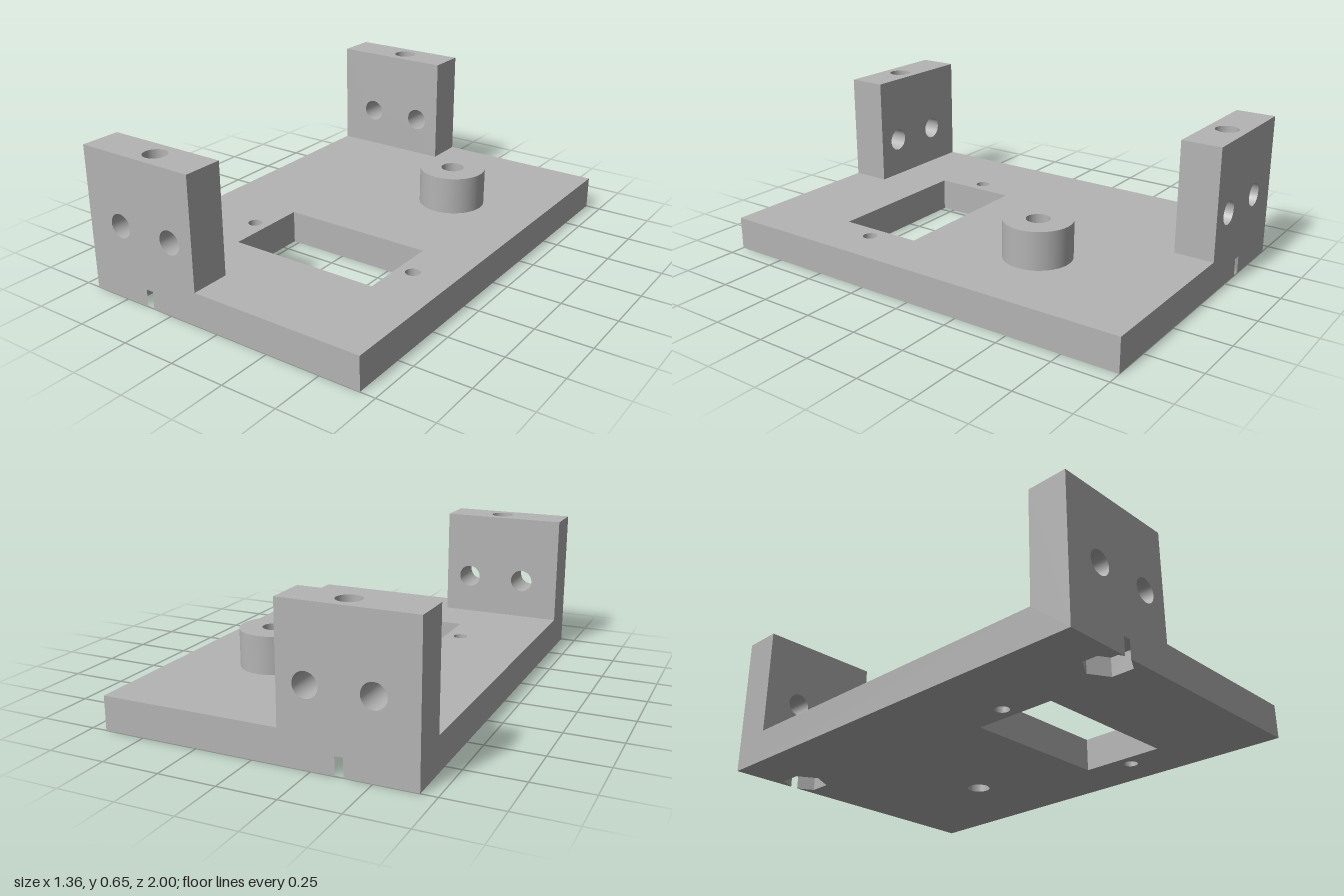
import * as THREE from 'three';

const X = 0.682, Z = 1, BASE = 0.15, TOP = 0.65; // plate half width, half depth, heights
const UX = -0.11, UZ = 0.82;                     // inner edges of the uprights
const BOLT = { x: -0.366, z: 0.91, r: 0.052 };   // vertical bolt bore
const POCKET = 0.08;                             // hex nut pocket depth
const SIDE_HOLES = [[-0.503, 0.334, 0.053], [-0.23, 0.334, 0.053]];
const BOSS = { x: 0.255, z: -0.366, r: 0.151, hole: 0.052, top: 0.32 };
const SCREWS = [[-0.345, 0.362, 0.032], [0.498, 0.362, 0.032]];
const WINDOW = [[-0.275, 0.557], [-0.275, 0.17], [0.428, 0.17], [0.428, 0.557]];

// Flat outline with holes, set square to an axis: x uses (z, y), y uses (x, z), z uses (x, y)
function flatFace(axis, sign, d, outline, circles = [], polygons = []) {
  const vec = (list) => list.map(([a, b]) => new THREE.Vector2(a, b));
  const shape = new THREE.Shape(vec(outline));
  for (const [a, b, r] of circles) shape.holes.push(new THREE.Path().absarc(a, b, r, 0, Math.PI * 2, true));
  for (const p of polygons) shape.holes.push(new THREE.Path(vec(p)));
  const geo = new THREE.ShapeGeometry(shape, 24);
  const pos = geo.attributes.position;
  for (let i = 0; i < pos.count; i++) {
    const a = pos.getX(i), b = pos.getY(i);
    if (axis === 'x') pos.setXYZ(i, d, b, a);
    else if (axis === 'y') pos.setXYZ(i, a, d, b);
    else pos.setXYZ(i, a, b, d);
  }
  const natural = axis === 'z' ? 1 : -1;
  if (sign !== natural) geo.index.array.reverse();
  geo.computeVertexNormals();
  return geo;
}

// Upright walls along a path of (x, z) points
function wallStrip(path, y0, y1) {
  const v = [];
  for (let i = 0; i + 1 < path.length; i++) {
    const [ax, az] = path[i], [bx, bz] = path[i + 1];
    v.push(ax, y0, az, bx, y0, bz, bx, y1, bz, ax, y0, az, bx, y1, bz, ax, y1, az);
  }
  const geo = new THREE.BufferGeometry();
  geo.setAttribute('position', new THREE.Float32BufferAttribute(v, 3));
  geo.computeVertexNormals();
  return geo;
}

// Turned surface; a profile running downward faces inward
const turned = (...profile) =>
  new THREE.LatheGeometry(profile.map(([r, y]) => new THREE.Vector2(r, y)), 48);

const rect = (a0, b0, a1, b1) => [[a0, b0], [a1, b0], [a1, b1], [a0, b1]];

// Hex nut pocket, one corner breaking through the end face
function pocketPath(s) {
  const r = 0.1, w = r * Math.sqrt(3) / 2, n = (BOLT.z + r - Z) * Math.sqrt(3);
  return [[-n, Z - BOLT.z], [-w, r / 2], [-w, -r / 2], [0, -r], [w, -r / 2], [w, r / 2], [n, Z - BOLT.z]]
    .map(([x, z]) => [BOLT.x + x, s * (BOLT.z + z)]);
}

export function createModel() {
  const model = new THREE.Group();
  model.name = 'servoMount';
  const grey = new THREE.MeshStandardMaterial({ color: 0xb4b4b4 });
  grey.name = 'plainGrey';
  const add = (parent, name, geo, x = 0, y = 0, z = 0) => {
    const mesh = new THREE.Mesh(geo, grey);
    mesh.name = name;
    mesh.position.set(x, y, z);
    parent.add(mesh);
    return mesh;
  };
  const group = (name) => {
    const g = new THREE.Group();
    g.name = name;
    model.add(g);
    return g;
  };

  // Base plate
  const base = group('basePlate');
  const bossHole = [BOSS.x, BOSS.z, BOSS.hole];
  add(base, 'plateTop', flatFace('y', 1, BASE,
    [[-X, -UZ], [UX, -UZ], [UX, -Z], [X, -Z], [X, Z], [UX, Z], [UX, UZ], [-X, UZ]],
    [...SCREWS, [BOSS.x, BOSS.z, BOSS.r]], [WINDOW]));
  add(base, 'plateUnderside', flatFace('y', -1, 0,
    [[-X, -Z], ...pocketPath(-1), [X, -Z], [X, Z], ...pocketPath(1).reverse(), [-X, Z]],
    [...SCREWS, bossHole], [WINDOW]));
  add(base, 'leftEdge', flatFace('x', 1, X, rect(-Z, 0, Z, BASE)));
  add(base, 'rightEdge', flatFace('x', -1, -X,
    [[-Z, 0], [Z, 0], [Z, TOP], [UZ, TOP], [UZ, BASE], [-UZ, BASE], [-UZ, TOP], [-Z, TOP]]));
  add(base, 'windowWalls', wallStrip([...WINDOW, WINDOW[0]], 0, BASE));
  for (const [x, z, r] of SCREWS) add(base, 'screwHole', turned([r, BASE], [r, 0]), x, 0, z);

  // Round boss with a through hole
  const boss = group('boss');
  boss.position.set(BOSS.x, 0, BOSS.z);
  add(boss, 'bossWall', turned([BOSS.r, BASE], [BOSS.r, BOSS.top]));
  add(boss, 'bossTop', turned([BOSS.r, BOSS.top], [BOSS.hole, BOSS.top]));
  add(boss, 'bossBore', turned([BOSS.hole, BOSS.top], [BOSS.hole, 0]));

  // Matching uprights at the front and back
  for (const s of [1, -1]) {
    const up = group(s > 0 ? 'frontUpright' : 'backUpright');
    const path = pocketPath(s), first = path[0][0], last = path[6][0];
    const bolt = [BOLT.x, s * BOLT.z, BOLT.r];
    add(up, 'outerFace', flatFace('z', s, s * Z,
      [[-X, 0], [first, 0], [first, POCKET], [last, POCKET], [last, 0],
        [X, 0], [X, BASE], [UX, BASE], [UX, TOP], [-X, TOP]], SIDE_HOLES));
    add(up, 'innerFace', flatFace('z', -s, s * UZ, rect(-X, BASE, UX, TOP), SIDE_HOLES));
    add(up, 'uprightTop', flatFace('y', 1, TOP, rect(-X, s * UZ, UX, s * Z), [bolt]));
    add(up, 'uprightSide', flatFace('x', 1, UX, rect(s * UZ, BASE, s * Z, TOP)));
    add(up, 'boltBore', turned([BOLT.r, TOP], [BOLT.r, POCKET]), BOLT.x, 0, s * BOLT.z);
    add(up, 'pocketCeiling', flatFace('y', -1, POCKET, path, [bolt]));
    add(up, 'pocketWalls', wallStrip(s > 0 ? path : [...path].reverse(), 0, POCKET));
    for (const [x, y, r] of SIDE_HOLES) {
      const half = (Z - UZ) / 2;
      add(up, 'sideHole', turned([r, half], [r, -half]), x, y, s * (Z + UZ) / 2).rotation.x = Math.PI / 2;
    }
  }
  return model;
}
